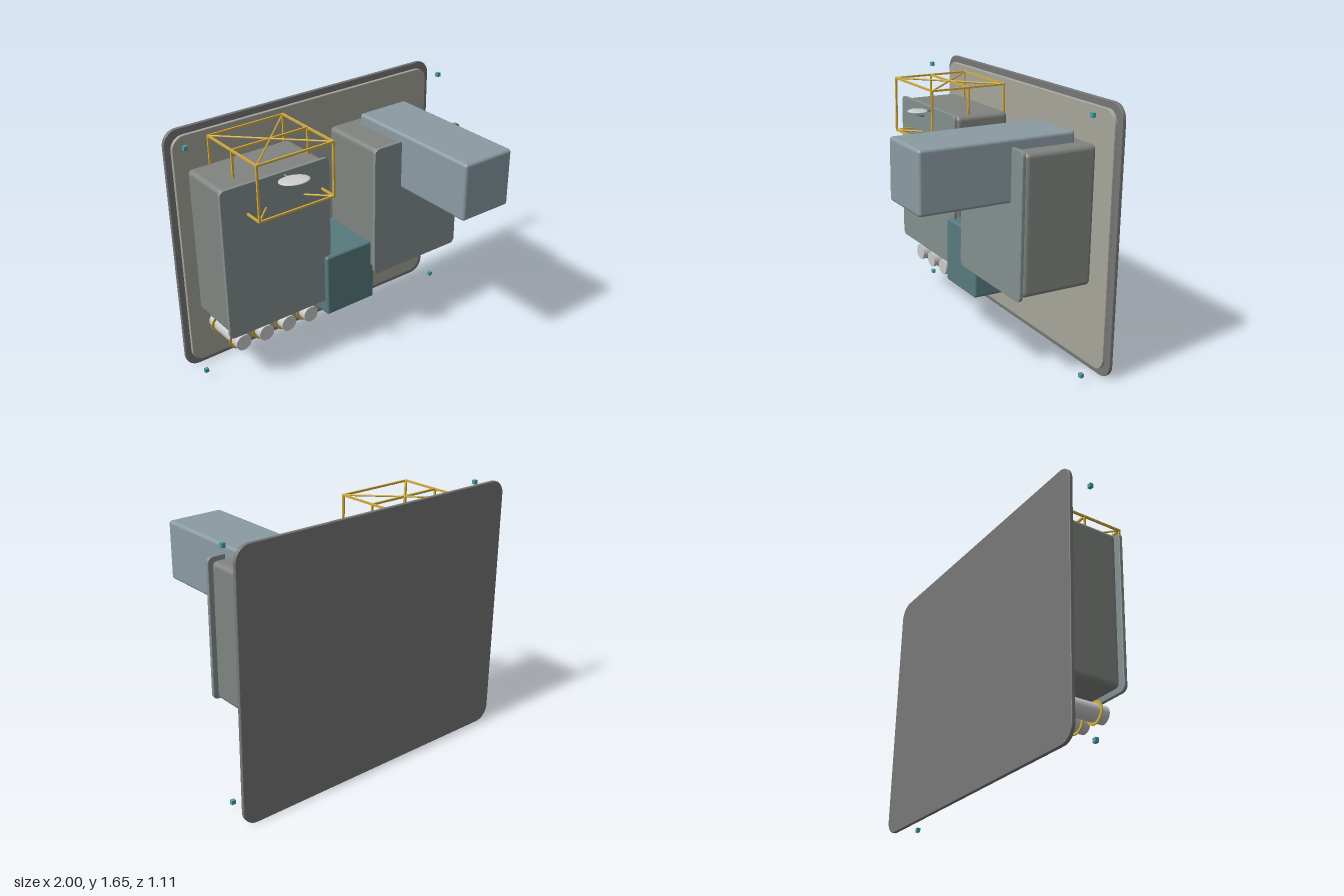
import * as THREE from 'three';
import { RoundedBoxGeometry } from 'three/addons/geometries/RoundedBoxGeometry.js';

const mat = (color) => new THREE.MeshStandardMaterial({ color });
const grey = mat(0xcccccc), plateGrey = mat(0x777777), panelBeige = mat(0xa6a69c);
const bodyGrey = mat(0x808480), coverBlue = mat(0x84908f), ductBlue = mat(0x8b9ba3);
const teal = mat(0x587a7e), brightTeal = mat(0x4fa0a8), gold = mat(0xd4ac3c), dark = mat(0x444444);

export function createModel() {
  const model = new THREE.Group();

  const add = (name, geometry, material, x = 0, y = 0, z = 0, parent = model) => {
    const mesh = new THREE.Mesh(geometry, material);
    mesh.name = name;
    mesh.position.set(x, y, z);
    parent.add(mesh);
    return mesh;
  };

  // Rounded box given by its extents
  const block = (name, material, [x0, x1], [y0, y1], [z0, z1], r) =>
    add(name, new RoundedBoxGeometry(x1 - x0, y1 - y0, z1 - z0, 4, r), material,
      (x0 + x1) / 2, (y0 + y1) / 2, (z0 + z1) / 2);

  // Upright plate with rounded corners and a fine bevel
  const slab = (name, material, [x0, x1], [y0, y1], [z0, z1], r) => {
    const b = 0.004, l = x0 + b, t = y1 - b, rt = x1 - b, bt = y0 + b;
    const s = new THREE.Shape();
    s.moveTo(l + r, bt);
    s.absarc(rt - r, bt + r, r, -Math.PI / 2, 0);
    s.absarc(rt - r, t - r, r, 0, Math.PI / 2);
    s.absarc(l + r, t - r, r, Math.PI / 2, Math.PI);
    s.absarc(l + r, bt + r, r, Math.PI, Math.PI * 1.5);
    const g = new THREE.ExtrudeGeometry(s, {
      depth: z1 - z0 - 2 * b, bevelThickness: b, bevelSize: b, bevelSegments: 2, curveSegments: 8,
    });
    return add(name, g, material, 0, 0, z0 + b);
  };

  // Wall plate and raised panel
  slab('backPlate', plateGrey, [-1, 1], [0, 1.65], [-0.555, -0.532], 0.09);
  slab('frontPanel', panelBeige, [-0.96, 0.96], [0.04, 1.61], [-0.532, -0.51], 0.08);

  // Two cabinets with overhanging covers
  block('rightCabinet', bodyGrey, [-0.88, -0.16], [0.425, 1.395], [-0.512, -0.142], 0.03);
  slab('rightCabinetCover', coverBlue, [-0.9, -0.14], [0.41, 1.41], [-0.134, -0.112], 0.03);
  block('leftCabinet', bodyGrey, [0.155, 0.81], [0.545, 1.392], [-0.512, -0.042], 0.03);
  slab('leftCabinetCover', coverBlue, [0.13, 0.825], [0.53, 1.41], [-0.035, -0.012], 0.03);
  add('bottomVent', new THREE.BoxGeometry(0.46, 0.012, 0.27), dark, 0.48, 0.541, -0.335);

  // Central box and long projecting duct
  block('centreBox', teal, [-0.19, 0.185], [0.31, 0.735], [-0.512, -0.085], 0.015);
  block('duct', ductBlue, [0.34, 0.71], [1.09, 1.46], [-0.43, 0.555], 0.02);

  // Open cage: posts, rails and crossed braces
  const cage = new THREE.Group();
  cage.name = 'cage';
  model.add(cage);
  const rod = (name, a, b, material = gold, r = 0.006, parent = cage) => {
    const p = new THREE.Vector3(...a), q = new THREE.Vector3(...b);
    const m = add(name, new THREE.CylinderGeometry(r, r, p.distanceTo(q), 8), material, 0, 0, 0, parent);
    m.position.copy(p).lerp(q, 0.5);
    m.quaternion.setFromUnitVectors(new THREE.Vector3(0, 1, 0), q.sub(p).normalize());
  };
  const bar = (name, a, b) => {
    const size = a.map((v, i) => Math.abs(b[i] - v) + 0.012);
    add(name, new THREE.BoxGeometry(...size), gold, ...a.map((v, i) => (v + b[i]) / 2), cage);
  };
  const [x0, x1, y0, y1, z0, z1] = [-0.725, -0.2, 1.217, 1.568, -0.505, 0.012];
  const zm = (z0 + z1) / 2;
  for (const y of [y0, y1]) {
    for (const z of [z0, zm, z1]) bar('crossRail', [x0, y, z], [x1, y, z]);
    for (const x of [x0, x1]) bar('sideRail', [x, y, z0], [x, y, z1]);
    rod('brace', [x0, y, z0], [x1, y, z1]);
    rod('brace', [x1, y, z0], [x0, y, z1]);
  }
  for (const x of [x0, x1]) for (const z of [z0, zm, z1]) bar('post', [x, y0, z], [x, y1, z]);

  // Small tilted dish on its arm
  const dish = add('dish', new THREE.SphereGeometry(1, 32, 16), grey, -0.462, 1.391, -0.015);
  dish.scale.set(0.095, 0.012, 0.066);
  dish.rotation.set(0, -0.4, 0.06);
  rod('dishArm', [-0.462, 1.385, -0.2], [-0.462, 1.388, -0.03], bodyGrey, 0.007, model);
  add('dishFoot', new THREE.BoxGeometry(0.065, 0.01, 0.03), teal, -0.432, 1.37, -0.02);

  // Row of canisters with two flat collars each
  const ring = new THREE.Shape().absarc(0, 0, 0.07, 0, Math.PI * 2);
  ring.holes.push(new THREE.Path().absarc(0, 0, 0.05, 0, Math.PI * 2, true));
  const collar = new THREE.ExtrudeGeometry(ring, { depth: 0.006, bevelEnabled: false, curveSegments: 24 });
  const canister = new THREE.CylinderGeometry(0.053, 0.053, 0.335, 32).rotateX(Math.PI / 2);
  for (let i = 0; i < 4; i++) {
    const x = -0.77 + i * 0.17;
    add('canister', canister, grey, x, 0.298, -0.345);
    for (const z of [-0.453, -0.243]) add('canisterCollar', collar, gold, x, 0.298, z);
  }

  // Corner markers standing off the panel
  for (const x of [-0.947, 0.947]) for (const y of [0.055, 1.6])
    add('cornerMarker', new THREE.BoxGeometry(0.026, 0.026, 0.022), brightTeal, x, y, -0.37);

  return model;
}
